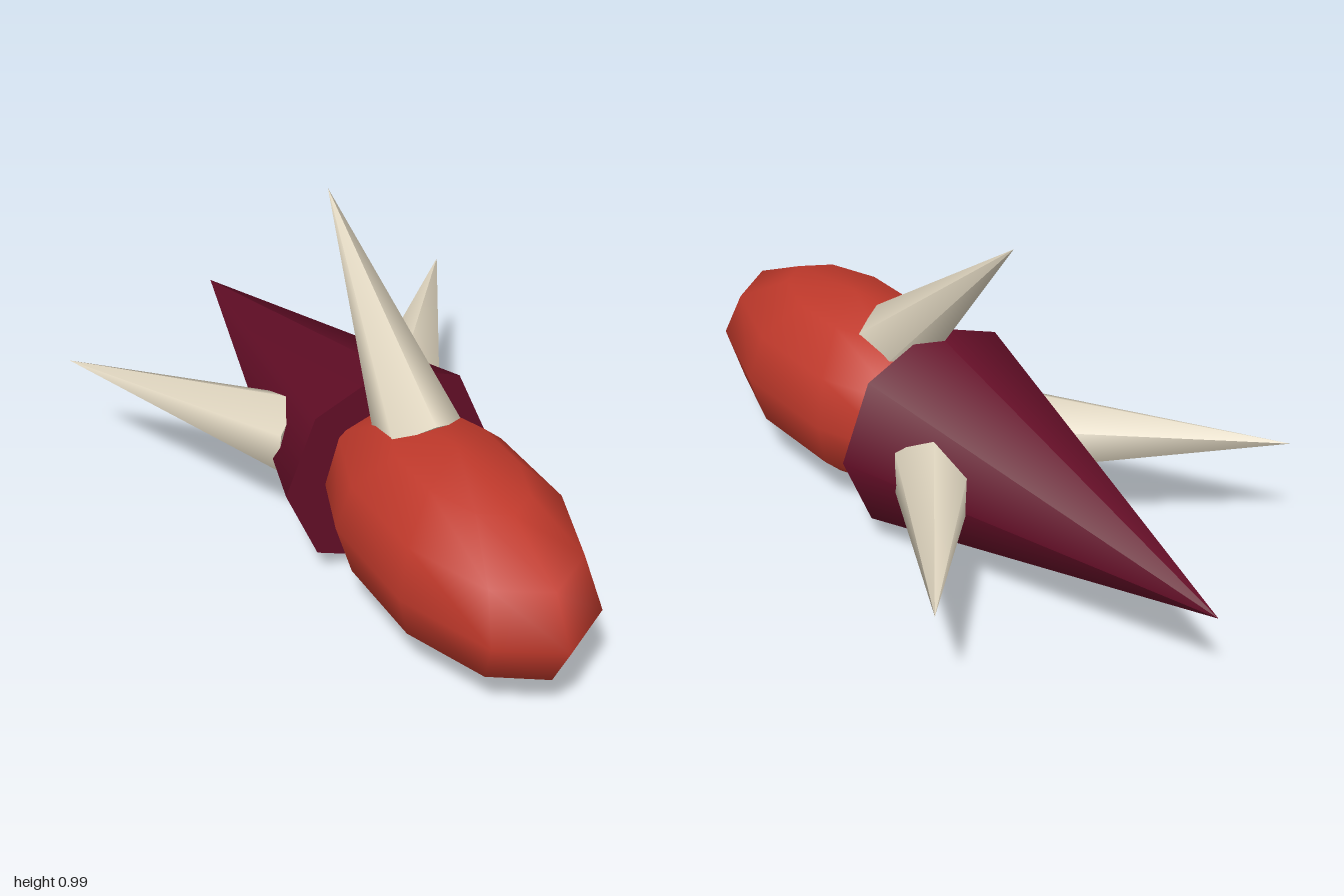
import * as THREE from 'three';

const red = new THREE.MeshStandardMaterial({ color: 0xc0392b });
red.name = 'red';
const maroon = new THREE.MeshStandardMaterial({ color: 0x640e27 });
maroon.name = 'maroon';
const bone = new THREE.MeshStandardMaterial({ color: 0xe0d6c0 });
bone.name = 'bone';

const AXIS_Y = 0.31;

// Six-sided spike whose tip sits at the given point, pointing along dir
function makeSpike(name, tip, dir) {
  const length = 0.7;
  const geometry = new THREE.ConeGeometry(0.118, length, 6);
  geometry.rotateX(Math.PI / 2);
  geometry.translate(0, 0, -length / 2);
  const spike = new THREE.Mesh(geometry, bone);
  spike.name = name;
  spike.position.copy(tip);
  spike.lookAt(tip.clone().add(dir));
  return spike;
}

export function createModel() {
  const model = new THREE.Group();
  model.name = 'hornedModel';

  // Stretched low-poly ball at the front, with a corner pointing forward
  const ball = new THREE.SphereGeometry(0.27, 10, 6);
  ball.rotateY(Math.PI / 2);
  ball.scale(1, 1, 2);
  const body = new THREE.Mesh(ball, red);
  body.name = 'body';
  body.position.set(0, AXIS_Y, 0.46);
  model.add(body);

  // Eight-sided cone tapering to the rear
  const cone = new THREE.ConeGeometry(0.306, 1.11, 8);
  cone.rotateX(-Math.PI / 2);
  const tail = new THREE.Mesh(cone, maroon);
  tail.name = 'tailCone';
  tail.position.set(0, AXIS_Y, -0.445);
  model.add(tail);

  // Swept-back spikes: one on top, one on each side
  model.add(makeSpike('topSpike', new THREE.Vector3(0, 0.99, -0.22), new THREE.Vector3(0, 1, -1)));
  for (const [name, side] of [['leftSpike', 1], ['rightSpike', -1]]) {
    model.add(makeSpike(name, new THREE.Vector3(side * 0.595, 0.395, -0.655), new THREE.Vector3(side * 0.78, 0.11, -1)));
  }
  return model;
}
